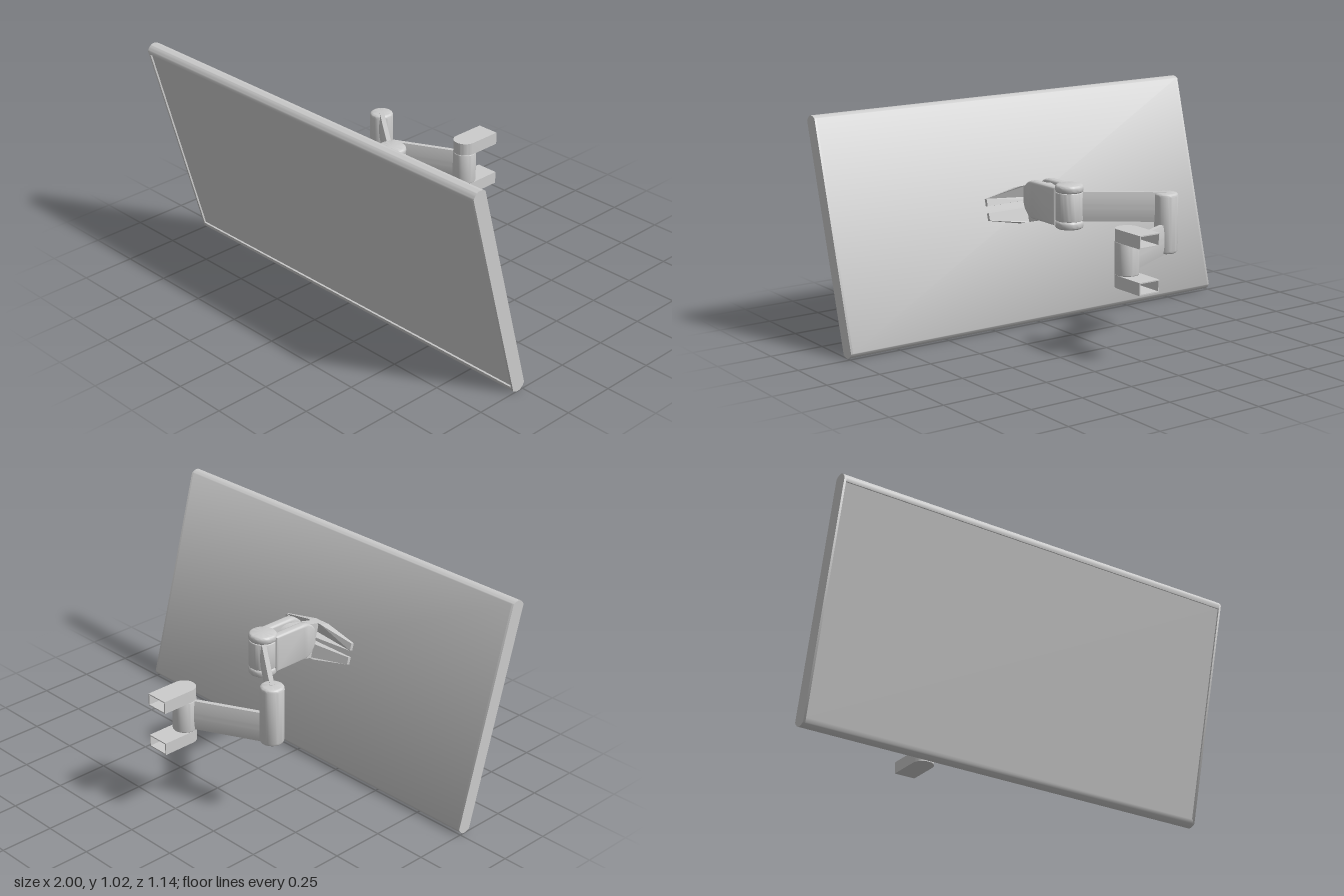
import * as THREE from 'three';
import { toCreasedNormals } from 'three/addons/utils/BufferGeometryUtils.js';

const material = new THREE.MeshStandardMaterial({ color: 0xcccccc, side: THREE.DoubleSide });
const TILT = Math.PI / 12;

function add(parent, name, geometry, x = 0, y = 0, z = 0) {
  const mesh = new THREE.Mesh(geometry, material);
  mesh.name = name;
  mesh.position.set(x, y, z);
  parent.add(mesh);
  return mesh;
}

// Extrusion centred on its own depth
function extrude(shape, depth, crease = 0.7, bevel = 0) {
  const g = new THREE.ExtrudeGeometry(shape, {
    depth: depth - 2 * bevel, curveSegments: 16, bevelEnabled: bevel > 0,
    bevelSize: bevel, bevelThickness: bevel, bevelOffset: -bevel, bevelSegments: 4,
  });
  g.translate(0, 0, -depth / 2 + bevel);
  return toCreasedNormals(g, crease);
}
// Shape drawn as (z, y), swept along x
const alongX = (shape, w, crease, bevel) => extrude(shape, w, crease, bevel).rotateY(-Math.PI / 2);
// Shape drawn as (x, z), swept along y
const alongY = (shape, h, crease, bevel) => extrude(shape, h, crease, bevel).rotateX(Math.PI / 2);

// Upright pivot with softened rims
function pivot(parent, name, x, z, r, y0, y1, soft = 0.014) {
  const pts = [new THREE.Vector2(0, y0)];
  for (let i = 0; i <= 4; i++) {
    const a = (i / 4) * Math.PI / 2;
    pts.push(new THREE.Vector2(r - soft + soft * Math.sin(a), y0 + soft - soft * Math.cos(a)));
  }
  for (let i = 0; i <= 4; i++) {
    const a = (i / 4) * Math.PI / 2;
    pts.push(new THREE.Vector2(r - soft + soft * Math.cos(a), y1 - soft + soft * Math.sin(a)));
  }
  pts.push(new THREE.Vector2(0, y1));
  add(parent, name, toCreasedNormals(new THREE.LatheGeometry(pts, 40), 0.6), x, 0, z);
}

// Flat arm with gently bulging sides between two pivots
function arm(parent, name, x0, z0, x1, z1, y0, y1) {
  const h = (y1 - y0) / 2, t = 0.01;
  const s = new THREE.Shape();
  s.moveTo(t, -h);
  s.quadraticCurveTo(t + 0.014, 0, t, h);
  s.lineTo(-t, h);
  s.quadraticCurveTo(-t - 0.014, 0, -t, -h);
  s.closePath();
  const m = add(parent, name, extrude(s, Math.hypot(x1 - x0, z1 - z0)),
    (x0 + x1) / 2, (y0 + y1) / 2, (z0 + z1) / 2);
  m.rotation.y = Math.atan2(x1 - x0, z1 - z0);
}

// Screen side profile, with or without the recess of the display
function screenProfile(recessed) {
  const s = new THREE.Shape();
  s.moveTo(0.034, -0.51);
  if (recessed) {
    s.lineTo(0.034, -0.492);
    s.lineTo(0.026, -0.492);
    s.lineTo(0.026, 0.492);
    s.lineTo(0.034, 0.492);
  }
  s.lineTo(0.034, 0.51);
  s.quadraticCurveTo(0, 0.548, -0.034, 0.51);
  s.lineTo(-0.034, -0.51);
  s.quadraticCurveTo(0, -0.548, 0.034, -0.51);
  return s;
}

function buildScreen() {
  const g = new THREE.Group();
  g.name = 'screen';
  g.position.set(0, 0.517, 0.4055);
  g.rotation.x = TILT;
  add(g, 'screenBody', alongX(screenProfile(true), 1.98, 0.9));
  for (const side of [-1, 1]) {
    add(g, 'screenEdge', alongX(screenProfile(false), 0.01, 0.9), side * 0.995);
  }

  // Mounting plate: two bars with a slot between, thinner at the tips
  const cy = 0.013;
  for (const side of [-1, 1]) {
    const s = new THREE.Shape([
      [-0.21, 0.016], [0, 0.016], [0.21, 0.016], [0.21, 0.05], [0.04, 0.084], [0, 0.084], [-0.04, 0.084], [-0.21, 0.05],
    ].map(([x, y]) => new THREE.Vector2(x, side * y)));
    const bar = new THREE.ExtrudeGeometry(s, { depth: 1, bevelEnabled: false });
    const p = bar.attributes.position;
    for (let i = 0; i < p.count; i++) {
      const k = Math.min(1, Math.max(0, (Math.abs(p.getX(i)) - 0.04) / 0.17));
      p.setZ(i, -(1 - p.getZ(i)) * (0.052 - 0.036 * k));
    }
    bar.computeVertexNormals();
    add(g, 'mountBar', bar, 0, cy, -0.034);
  }

  // Tilt tongue with a round end
  const t = new THREE.Shape();
  t.moveTo(-0.078, -0.084);
  t.lineTo(-0.078, 0.084);
  t.lineTo(-0.22, 0.08);
  t.absarc(-0.22, 0, 0.08, Math.PI / 2, Math.PI * 1.5, false);
  t.closePath();
  add(g, 'tiltTongue', alongX(t, 0.044), 0, cy);
  return g;
}

// Fork that holds the tongue
function buildFork() {
  const g = new THREE.Group();
  g.name = 'tiltFork';
  const s = new THREE.Shape();
  s.moveTo(0.05, 0.505);
  s.lineTo(0.22, 0.505);
  s.bezierCurveTo(0.265, 0.505, 0.298, 0.545, 0.298, 0.575);
  s.lineTo(0.298, 0.615);
  s.bezierCurveTo(0.298, 0.65, 0.265, 0.68, 0.22, 0.68);
  s.lineTo(0.05, 0.68);
  s.closePath();
  for (const side of [-1, 1]) {
    add(g, 'forkCheek', alongX(s, 0.045, 0.7, 0.012), side * 0.0425);
  }
  add(g, 'forkBridge', new THREE.BoxGeometry(0.06, 0.15, 0.05), 0, 0.5925, 0.08);
  return g;
}

// Hollow wall bracket, round in front and open at the back
function buildBracket(y0, y1) {
  const g = new THREE.Group();
  g.name = 'wallBracket';
  const cx = 0.02, cz = -0.42, back = -0.573, r = 0.053, w = 0.005;
  const plate = new THREE.Shape();
  plate.moveTo(cx + r, back);
  plate.lineTo(cx + r, cz);
  plate.absarc(cx, cz, r, 0, Math.PI, false);
  plate.lineTo(cx - r, back);
  plate.closePath();
  for (const y of [y0 + w / 2, y1 - w / 2]) add(g, 'bracketPlate', alongY(plate, w), 0, y, 0);
  const wall = new THREE.Shape();
  wall.moveTo(cx + r, back);
  wall.lineTo(cx + r, cz);
  wall.absarc(cx, cz, r, 0, Math.PI, false);
  wall.lineTo(cx - r, back);
  wall.lineTo(cx - r + w, back);
  wall.lineTo(cx - r + w, cz);
  wall.absarc(cx, cz, r - w, Math.PI, 0, true);
  wall.lineTo(cx + r - w, back);
  wall.closePath();
  add(g, 'bracketWall', alongY(wall, y1 - y0 - 2 * w), 0, (y0 + y1) / 2, 0);
  return g;
}

export function createModel() {
  const model = new THREE.Group();
  model.name = 'wallMountedScreen';
  model.add(buildScreen(), buildFork());

  // Head pivot: two caps around a slightly slimmer sleeve
  pivot(model, 'headPivotLower', 0, 0.027, 0.064, 0.492, 0.531);
  pivot(model, 'headPivotSleeve', 0, 0.027, 0.062, 0.529, 0.657, 0.003);
  pivot(model, 'headPivotUpper', 0, 0.027, 0.064, 0.655, 0.692);

  // Folding arm
  arm(model, 'frontArm', 0, 0.027, -0.338, -0.238, 0.525, 0.659);
  pivot(model, 'elbowPivot', -0.338, -0.238, 0.053, 0.385, 0.657);
  arm(model, 'rearArm', -0.338, -0.238, 0.02, -0.418, 0.381, 0.519);
  pivot(model, 'wallPivot', 0.02, -0.418, 0.053, 0.375, 0.523, 0.006);

  // Wall brackets above and below the pivot
  model.add(buildBracket(0.522, 0.579), buildBracket(0.321, 0.377));
  return model;
}
